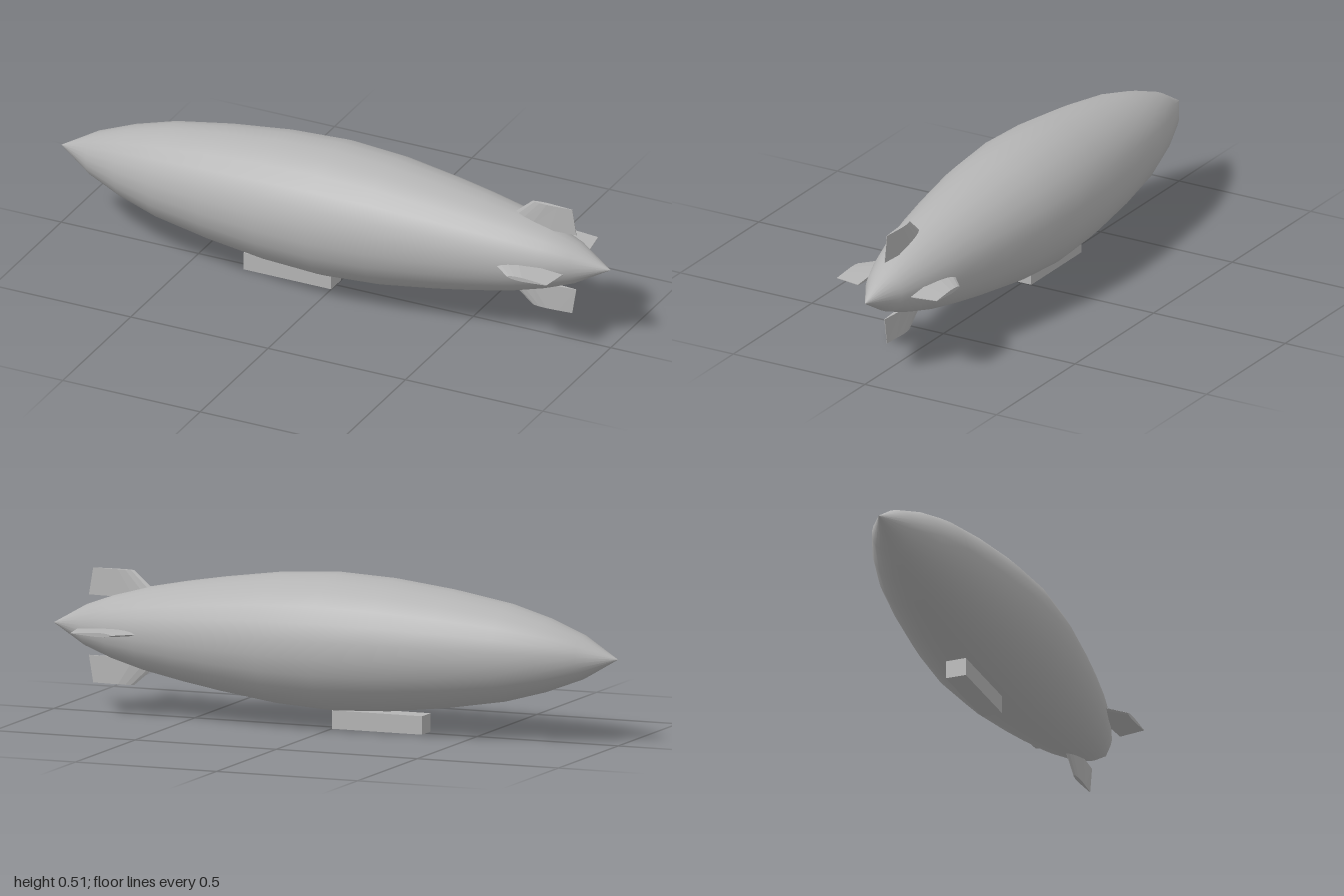
import * as THREE from 'three';

const AXIS_Y = 0.285;

// Tapered fin with an aerofoil section: chord along x, span along y, thickness along z
function finGeometry() {
  const stations = [[0, 0], [0.07, 0.55], [0.2, 0.9], [0.38, 1], [0.65, 0.65], [1, 0.1]];
  const loop = [...stations, ...stations.slice(1).reverse().map(([u, t]) => [u, -t])];
  const n = loop.length;
  const ends = [
    { x0: 0.61, x1: 0.875, y: 0.1, half: 0.012 },
    { x0: 0.715, x1: 0.86, y: 0.19, half: 0.007 },
  ];
  const positions = [];
  for (const e of ends) {
    for (const [u, t] of loop) positions.push(e.x0 + (e.x1 - e.x0) * u, e.y, t * e.half);
  }
  const index = [];
  for (let i = 0; i < n; i++) {
    const j = (i + 1) % n;
    index.push(i, j, n + j, i, n + j, n + i);
    if (i > 0 && i < n - 1) index.push(n, n + i, n + i + 1, 0, i + 1, i);
  }
  const indexed = new THREE.BufferGeometry();
  indexed.setAttribute('position', new THREE.Float32BufferAttribute(positions, 3));
  indexed.setIndex(index);
  const geometry = indexed.toNonIndexed();
  geometry.computeVertexNormals();
  return geometry;
}

export function createModel() {
  const model = new THREE.Group();
  model.name = 'airship';
  const grey = new THREE.MeshStandardMaterial({ color: 0xb4b4b4 });
  grey.name = 'grey';

  // Hull: 24-sided body of revolution, nose at -x and tail at +x
  const profile = [
    [0, -1], [0.074, -0.875], [0.122, -0.75], [0.161, -0.61], [0.194, -0.41], [0.218, -0.2],
    [0.227, 0], [0.215, 0.2], [0.187, 0.4], [0.165, 0.53], [0.138, 0.665], [0.106, 0.78],
    [0.069, 0.88], [0, 1],
  ].map(([r, x]) => new THREE.Vector2(r, x));
  const hullGeometry = new THREE.LatheGeometry(profile, 24);
  hullGeometry.rotateY(Math.PI / 24);
  hullGeometry.rotateZ(-Math.PI / 2);
  const hull = new THREE.Mesh(hullGeometry, grey);
  hull.name = 'hull';
  hull.position.y = AXIS_Y;
  model.add(hull);

  // Gondola under the front half
  const gondola = new THREE.Mesh(new THREE.BoxGeometry(0.32, 0.061, 0.07), grey);
  gondola.name = 'gondola';
  gondola.position.set(-0.16, 0.0305, 0);
  model.add(gondola);

  // Four tail fins around the axis
  const fin = finGeometry();
  ['topFin', 'leftFin', 'bottomFin', 'rightFin'].forEach((name, i) => {
    const mesh = new THREE.Mesh(fin, grey);
    mesh.name = name;
    mesh.position.y = AXIS_Y;
    mesh.rotation.x = (i * Math.PI) / 2;
    model.add(mesh);
  });

  return model;
}
